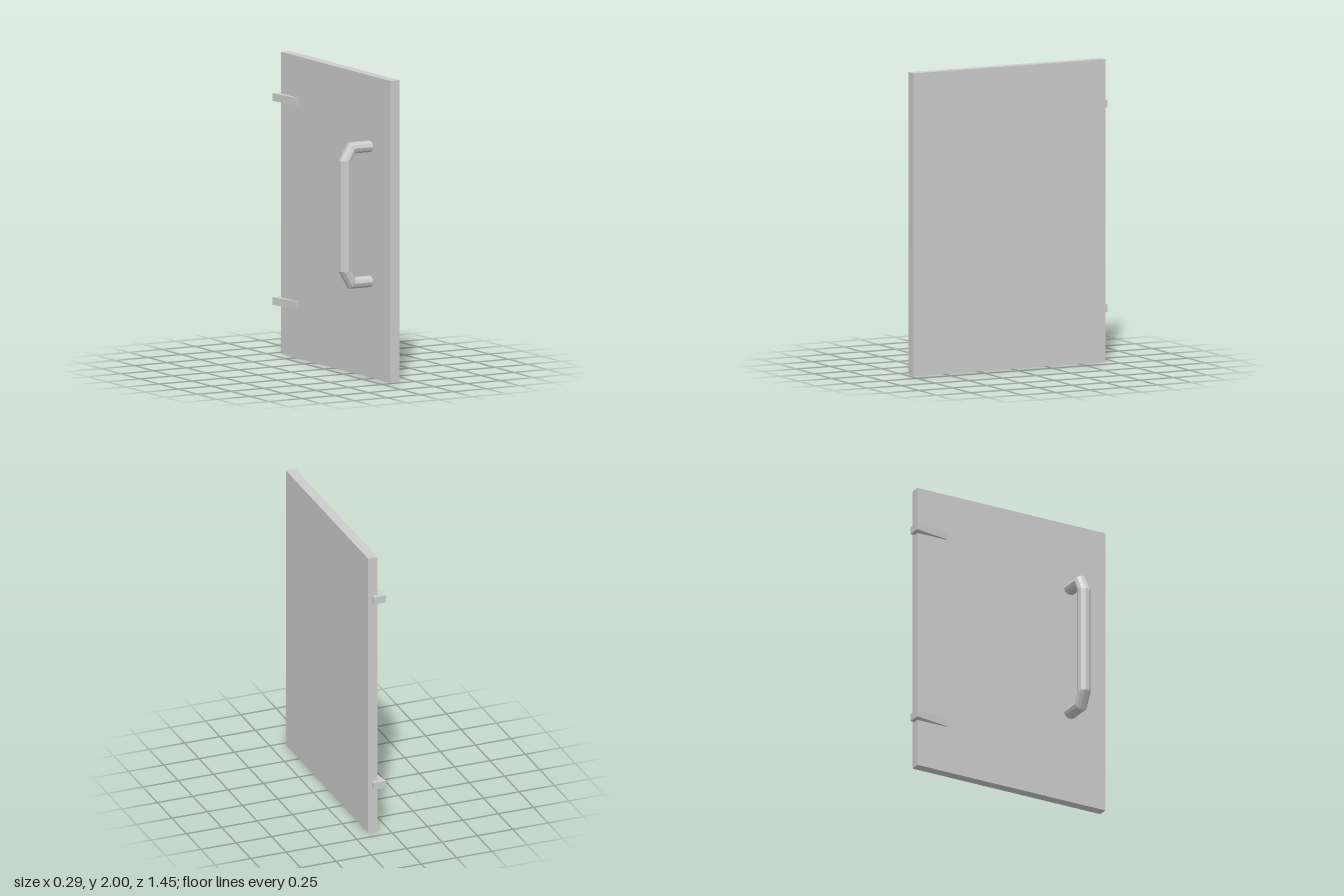
import * as THREE from 'three';

const material = new THREE.MeshStandardMaterial({ color: 0xcccccc, flatShading: true });

function addMesh(parent, geometry, name) {
  const mesh = new THREE.Mesh(geometry, material);
  mesh.name = name;
  parent.add(mesh);
  return mesh;
}

// Tube through mitred rings, each given by its outer and inner point in the xy plane
function mitredTube(rings, zRadius, sides) {
  const positions = [];
  const index = [];
  for (const [ox, oy, ix, iy] of rings) {
    for (let s = 0; s < sides; s++) {
      const a = ((s + 0.5) / sides) * Math.PI * 2;
      // flat facets face outwards and inwards, so stretch to the full width
      const c = Math.cos(a) / Math.cos(Math.PI / sides);
      positions.push(
        (ox + ix) / 2 + ((ox - ix) / 2) * c,
        (oy + iy) / 2 + ((oy - iy) / 2) * c,
        Math.sin(a) * zRadius
      );
    }
  }
  for (let r = 0; r < rings.length - 1; r++) {
    for (let s = 0; s < sides; s++) {
      const a = r * sides + s;
      const b = r * sides + ((s + 1) % sides);
      index.push(a, a + sides, b, b, a + sides, b + sides);
    }
  }
  // end caps
  const last = (rings.length - 1) * sides;
  for (let s = 1; s < sides - 1; s++) {
    index.push(0, s, s + 1, last, last + s + 1, last + s);
  }
  const geometry = new THREE.BufferGeometry();
  geometry.setAttribute('position', new THREE.Float32BufferAttribute(positions, 3));
  geometry.setIndex(index);
  const flat = geometry.toNonIndexed();
  flat.computeVertexNormals();
  return flat;
}

export function createModel() {
  const model = new THREE.Group();
  model.name = 'door';

  // Flat door panel
  const panel = addMesh(model, new THREE.BoxGeometry(0.067, 2, 1.419), 'panel');
  panel.position.set(0.1135, 1, 0.0145);

  // Pull handle with bevelled corners, mirrored about its middle height
  const middle = 1.084;
  const upper = [
    [0.085, 0.483, 0.085, 0.411],
    [-0.08, 0.483, -0.04, 0.411],
    [-0.147, 0.366, -0.062, 0.366],
  ];
  const lower = upper.map(([ox, oy, ix, iy]) => [ox, -oy, ix, -iy]).reverse();
  const handle = addMesh(model, mitredTube([...upper, ...lower], 0.045, 10), 'handle');
  handle.position.set(0, middle, 0.456);

  // Tapered hinge arms hooked around the back edge (shape y is -z)
  const outline = new THREE.Shape(
    [
      [0.032, 0.724],
      [0.072, 0.472],
      [0.082, 0.472],
      [0.082, 0.694],
      [0.12, 0.694],
      [0.12, 0.724],
    ].map(([x, y]) => new THREE.Vector2(x, y))
  );
  const armGeometry = new THREE.ExtrudeGeometry(outline, { depth: 0.05, bevelEnabled: false });
  armGeometry.rotateX(-Math.PI / 2);
  for (const [y, name] of [[0.325, 'lowerHinge'], [1.675, 'upperHinge']]) {
    addMesh(model, armGeometry, name).position.y = y;
  }

  return model;
}
